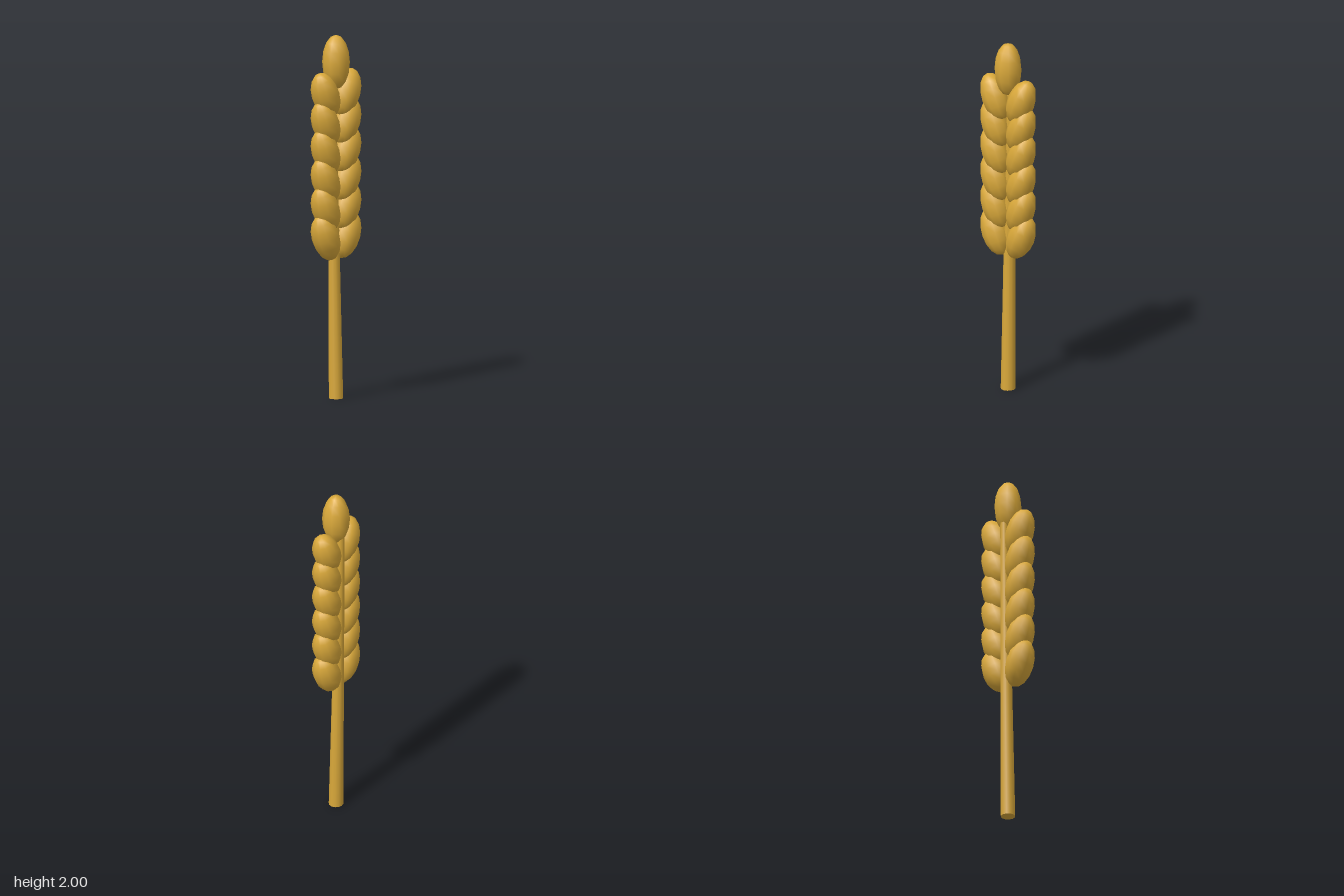
import * as THREE from 'three';

export function createModel() {
  const model = new THREE.Group();
  model.name = 'wheatEar';
  const wheat = new THREE.MeshStandardMaterial({ color: 0xd9a83a });
  wheat.name = 'wheatGold';

  // Tapered stem, leaning slightly back and ending inside the top grain
  const stemHeight = 1.8;
  const stemGeometry = new THREE.CylinderGeometry(0.022, 0.04, stemHeight, 12);
  stemGeometry.translate(0, stemHeight / 2, 0);
  stemGeometry.applyMatrix4(new THREE.Matrix4().set(
    1, 0, 0, 0,
    0, 1, 0, 0,
    0, -0.018, 1, 0,
    0, 0, 0, 1
  ));
  const stem = new THREE.Mesh(stemGeometry, wheat);
  stem.name = 'stem';
  model.add(stem);

  // Smooth ten-sided grain with a long vertical axis
  const grainGeometry = (radius, halfLength) =>
    new THREE.SphereGeometry(1, 10, 8)
      .rotateY(Math.PI / 2)
      .scale(radius, halfLength, radius);

  // Paired rows of grains, tilted outward
  const sideGrain = grainGeometry(0.077, 0.135);
  for (let row = 0; row < 6; row++) {
    for (const side of [1, -1]) {
      const grain = new THREE.Mesh(sideGrain, wheat);
      grain.name = (side > 0 ? 'leftGrain' : 'rightGrain') + (row + 1);
      grain.position.set(side * 0.084, 0.893 + row * 0.1565, 0);
      grain.rotation.z = -side * 0.38;
      model.add(grain);
    }
  }

  // Upright grain at the tip
  const topGrain = new THREE.Mesh(grainGeometry(0.076, 0.15), wheat);
  topGrain.name = 'topGrain';
  topGrain.position.y = 1.85;
  model.add(topGrain);

  return model;
}
